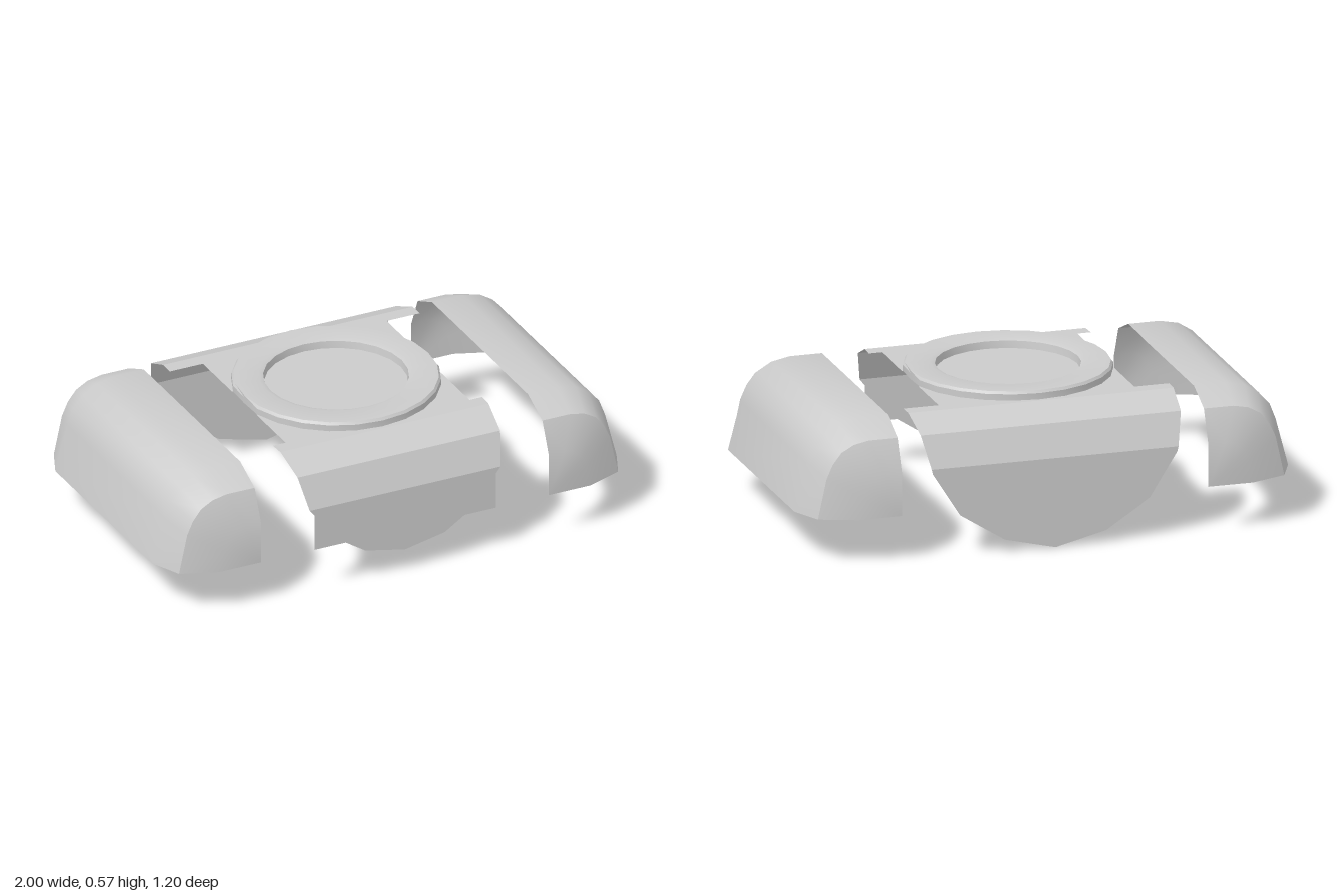
import * as THREE from 'three';
import { toCreasedNormals } from 'three/addons/utils/BufferGeometryUtils.js';

const material = new THREE.MeshStandardMaterial({ color: 0xcccccc, side: THREE.DoubleSide });
const TOP = 0.54, RING = 0.405, CUT = 0.395, SIDES = 24;

// Skin joining a list of cross-sections that have equal point counts
function loft(sections) {
  const n = sections[0].length, index = [];
  for (let i = 0; i < sections.length - 1; i++) {
    for (let j = 0; j < n - 1; j++) {
      const a = i * n + j, b = a + n;
      index.push(a, b, a + 1, a + 1, b, b + 1);
    }
  }
  const geo = new THREE.BufferGeometry();
  geo.setAttribute('position', new THREE.Float32BufferAttribute(sections.flat(2), 3));
  geo.setIndex(index);
  return toCreasedNormals(geo, 0.6);
}

function add(parent, name, geo) {
  const mesh = new THREE.Mesh(geo, material);
  mesh.name = name;
  parent.add(mesh);
  return mesh;
}

// Flat sheet from outline points
const sheet = (points) => new THREE.ShapeGeometry(new THREE.Shape(points.map(p => new THREE.Vector2(...p))));

// Hollow rounded side cover, open below and toward the middle
function sideShell(sign) {
  const outer = [[0.62, 0.54], [0.75, 0.54], [0.825, 0.525], [0.88, 0.49], [0.925, 0.44], [0.95, 0.375], [1, 0.185]];
  const inset = [[0.62, 0.485], [0.74, 0.485], [0.8, 0.473], [0.85, 0.445], [0.885, 0.4], [0.91, 0.345], [0.945, 0.185]];
  const end = [[0.62, 0.36], [0.69, 0.36], [0.72, 0.352], [0.745, 0.335], [0.765, 0.31], [0.78, 0.27], [0.8, 0.185]];
  const centre = end.map(() => [0.62, 0.185]);
  const at = (profile, z) => profile.map(([x, y]) => [sign * x, y, z]);
  const half = [[centre, 0.6], [end, 0.6], [inset, 0.545], [outer, 0.42]];
  const sections = [
    ...half.map(([p, z]) => at(p, z)),
    ...half.slice().reverse().map(([p, z]) => at(p, -z)),
  ];
  if (sign < 0) sections.reverse();
  return loft(sections);
}

// Half of the deck: flat plate, sloped shoulder and hanging flap
function deckHalf(dir, widths, flapSide) {
  const group = new THREE.Group();
  const [tab, edge, bend, low] = widths;

  // Plate with a half-round opening under the ring
  const right = [[CUT, 0.105], [CUT, 0.36], [tab, 0.36], [edge, 0.42]];
  const outline = [...right, ...right.map(([x, z]) => [-x, z]).reverse()];
  for (let i = SIDES / 2 - 1; i >= 1; i--) {
    const a = (i / SIDES) * Math.PI * 2;
    outline.push([Math.cos(a) * RING, Math.sin(a) * RING]);
  }
  const plate = sheet(outline);
  plate.rotateX(-dir * Math.PI / 2);
  if (dir > 0) plate.scale(1, 1, -1);
  else plate.scale(1, 1, -1);
  // Keep the plate on its own side of the middle
  const pos = plate.attributes.position;
  for (let i = 0; i < pos.count; i++) pos.setXYZ(i, pos.getX(i), TOP, dir * Math.abs(pos.getZ(i)));
  plate.computeVertexNormals();
  add(group, 'plate', plate);

  // Shoulder
  const rows = [[edge, TOP, 0.42], [bend, 0.485, 0.545], [low, 0.36, 0.6]]
    .map(([x, y, z]) => [[-x * dir, y, z * dir], [x * dir, y, z * dir]]);
  add(group, 'shoulder', loft(rows.reverse()));

  // Flap
  const sides = [[low, 0.36], ...flapSide];
  const mirrored = sides.filter(([x]) => x > 0).map(([x, y]) => [-x, y]).reverse();
  const flap = add(group, 'flap', sheet([...sides, ...mirrored]));
  flap.position.z = 0.6 * dir;
  if (dir < 0) flap.rotation.y = Math.PI;
  return group;
}

export function createModel() {
  const model = new THREE.Group();
  add(model, 'leftShell', sideShell(1));
  add(model, 'rightShell', sideShell(-1));

  const front = deckHalf(1, [0.45, 0.447, 0.435, 0.41],
    [[0.39, 0.335], [0.39, 0.185], [0.255, 0.185], [0.17, 0.13], [0, 0.095]]);
  front.name = 'frontDeck';
  const back = deckHalf(-1, [0.538, 0.537, 0.527, 0.5],
    [[0.495, 0.34], [0.385, 0.165], [0.205, 0.05], [0, 0]]);
  back.name = 'backDeck';
  model.add(front, back);

  // Hollow raised ring, trimmed flat at both sides
  const profile = [[RING, TOP], [RING, 0.565], [0.397, 0.575], [0.3, 0.575], [0.282, 0.569], [0.278, TOP]]
    .map(p => new THREE.Vector2(...p));
  const ring = new THREE.LatheGeometry(profile, SIDES);
  const pos = ring.attributes.position;
  for (let i = 0; i < pos.count; i++) pos.setX(i, THREE.MathUtils.clamp(pos.getX(i), -CUT, CUT));
  add(model, 'ring', toCreasedNormals(ring, 0.6));

  // Recessed disc inside the ring
  const disc = add(model, 'disc', new THREE.CircleGeometry(0.278, SIDES));
  disc.rotation.x = -Math.PI / 2;
  disc.position.y = TOP;
  return model;
}
